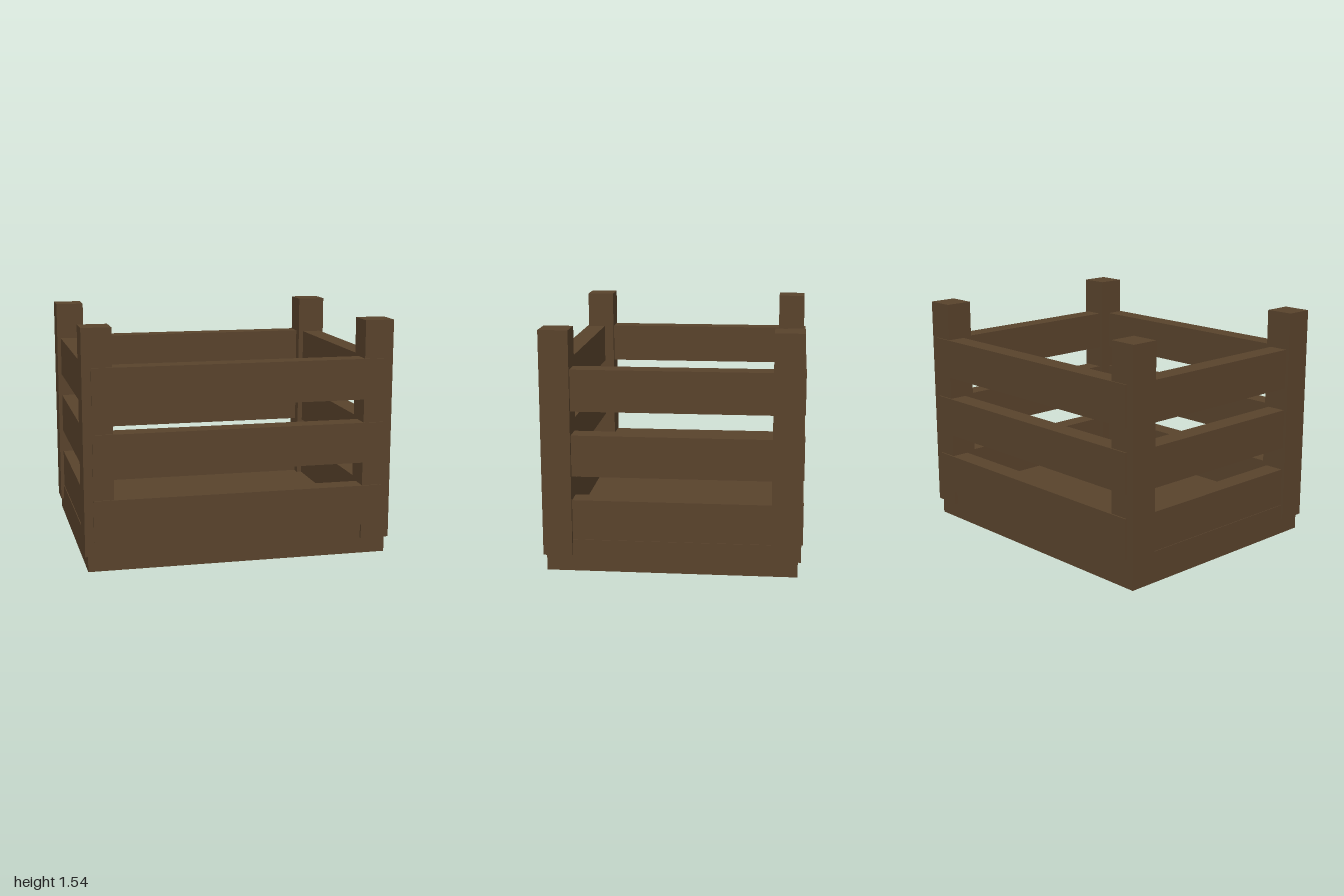
import * as THREE from 'three';

export function createModel() {
  const crate = new THREE.Group();
  crate.name = 'crate';

  const wood = new THREE.MeshStandardMaterial({ color: 0x59432c });
  wood.name = 'darkWood';

  function board(name, w, h, d, x, y, z) {
    const mesh = new THREE.Mesh(new THREE.BoxGeometry(w, h, d), wood);
    mesh.name = name;
    mesh.position.set(x, y, z);
    crate.add(mesh);
  }

  // Solid floor block
  board('base', 1.96, 0.206, 1.584, 0, 0.103, 0);

  // Corner posts
  for (const sx of [-1, 1]) {
    for (const sz of [-1, 1]) {
      const name = (sz > 0 ? 'front' : 'back') + (sx > 0 ? 'Left' : 'Right') + 'Post';
      board(name, 0.188, 1.435, 0.186, sx * 0.906, 0.8225, sz * 0.718);
    }
  }

  // Three rows of slats: long ones overlap the posts, side ones sit between them
  [0.331, 0.748, 1.163].forEach((y, i) => {
    for (const s of [-1, 1]) {
      board((s > 0 ? 'front' : 'back') + 'Slat' + (i + 1), 1.886, 0.263, 0.13, 0, y, s * 0.756);
      board((s > 0 ? 'left' : 'right') + 'Slat' + (i + 1), 0.13, 0.263, 1.44, s * 0.91, y, 0);
    }
  });

  return crate;
}
